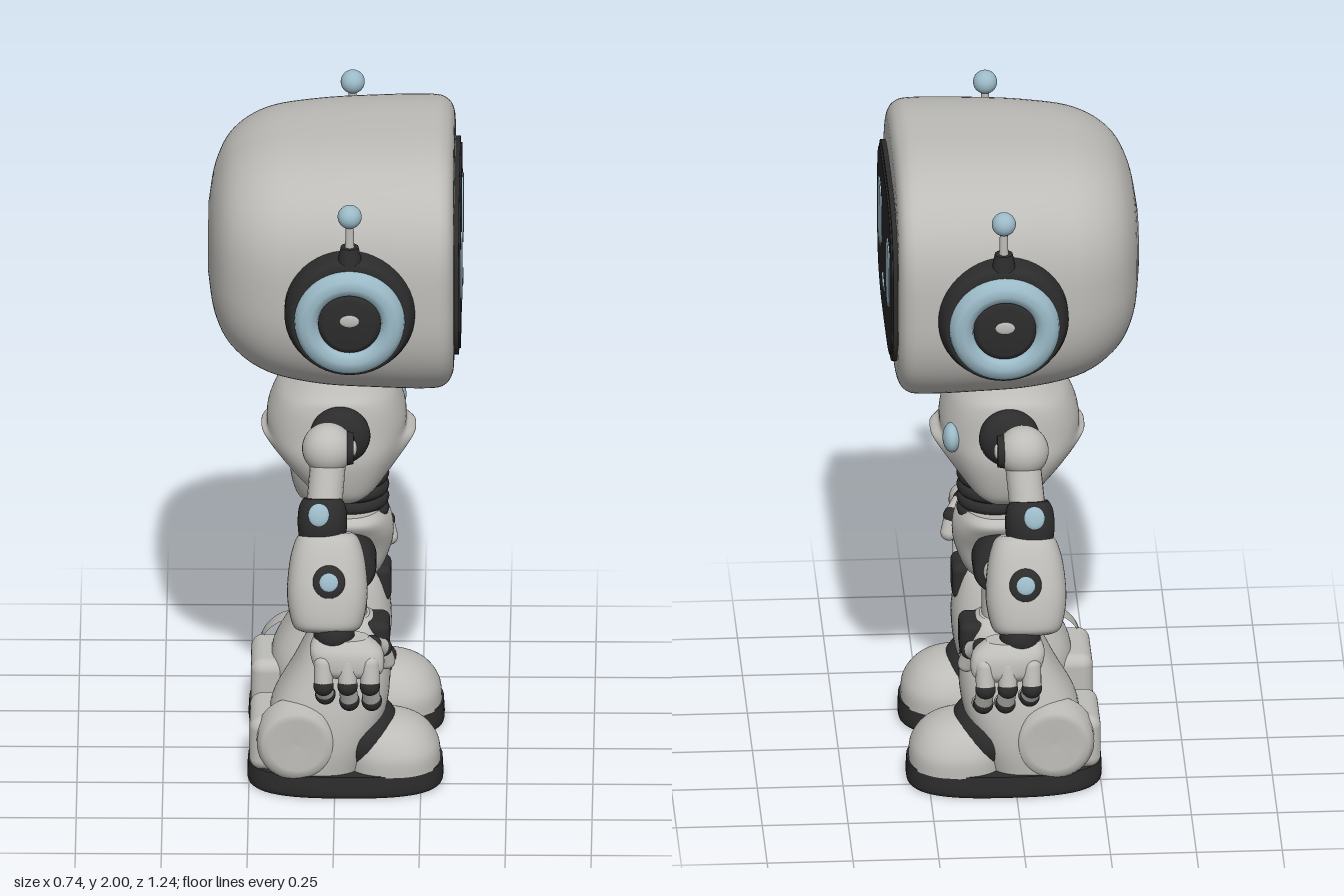
import * as THREE from 'three';
import { RoundedBoxGeometry } from 'three/addons/geometries/RoundedBoxGeometry.js';

const paint = (name, color) => {
  const m = new THREE.MeshStandardMaterial({ color });
  m.name = name;
  return m;
};
const shell = paint('shellGrey', 0xbdbcb8);
const rubber = paint('rubberBlack', 0x2c2c2c);
const glass = paint('screenBlack', 0x262627);
const blue = paint('paleBlue', 0x9bbac7);

function add(parent, name, geometry, material, x = 0, y = 0, z = 0) {
  const mesh = new THREE.Mesh(geometry, material);
  mesh.name = name;
  mesh.position.set(x, y, z);
  parent.add(mesh);
  return mesh;
}

// Smooth solid through superellipse sections [t, cu, cv, ru, rv, n] along y (u=x, v=z) or z (u=x, v=y)
function loft(sections, axis = 'y', sub = 6, seg = 56, rule = null) {
  const rows = [], last = sections.length - 1;
  for (let i = 0; i < last; i++) {
    const [a, b, c, d] = [i - 1, i, i + 1, i + 2].map(k => sections[Math.min(Math.max(k, 0), last)]);
    for (let j = 0; j < sub + (i === last - 1 ? 1 : 0); j++) {
      const t = j / sub;
      rows.push(b.map((q, k) => q + 0.5 * t * (c[k] - a[k] + t * (2 * a[k] - 5 * q + 4 * c[k] - d[k]
        + t * (3 * (q - c[k]) + d[k] - a[k])))));
    }
  }
  const pos = [], idx = [], flip = axis === 'y';
  const put = (t, u, v) => {
    const p = flip ? new THREE.Vector3(u, t, v) : new THREE.Vector3(u, v, t);
    if (rule) rule(p);
    pos.push(p.x, p.y, p.z);
  };
  const tri = (a, b, c, swap) => swap ? idx.push(a, c, b) : idx.push(a, b, c);
  const power = (q, n) => Math.sign(q) * Math.abs(q) ** (2 / n);
  const ring = ([t, cu, cv, ru, rv, n]) => {
    for (let k = 0; k < seg; k++) {
      const a = k / seg * Math.PI * 2;
      put(t, cu + ru * power(Math.cos(a), n), cv + rv * power(Math.sin(a), n));
    }
  };
  rows.forEach(ring);
  for (let r = 0; r < rows.length - 1; r++) for (let k = 0; k < seg; k++) {
    const a = r * seg + k, b = r * seg + (k + 1) % seg;
    tri(a, b, b + seg, flip);
    tri(a, b + seg, a + seg, flip);
  }
  // End caps with their own corners, so their edges stay sharp
  [rows[0], rows[rows.length - 1]].forEach((row, end) => {
    const base = pos.length / 3;
    ring(row);
    put(row[0], row[1], row[2]);
    for (let k = 0; k < seg; k++) tri(base + k, base + (k + 1) % seg, base + seg, flip !== (end === 0));
  });
  const g = new THREE.BufferGeometry();
  g.setAttribute('position', new THREE.Float32BufferAttribute(pos, 3));
  g.setIndex(idx);
  g.computeVertexNormals();
  return g;
}

// Turned disc whose axis points outward along x on side s
const turned = (s, profile) => new THREE.LatheGeometry(profile.map(p => new THREE.Vector2(...p)), 48).rotateZ(-s * Math.PI / 2);
const ball = (r, sx = 1, sy = 1, sz = 1) => new THREE.SphereGeometry(r, 32, 24).scale(sx, sy, sz);

function capsule(parent, name, a, b, r, material) {
  const p = new THREE.Vector3(...a), q = new THREE.Vector3(...b), d = q.clone().sub(p);
  const mesh = add(parent, name, new THREE.CapsuleGeometry(r, d.length(), 8, 20), material);
  mesh.position.copy(p).add(q).multiplyScalar(0.5);
  mesh.quaternion.setFromUnitVectors(new THREE.Vector3(0, 1, 0), d.normalize());
}

function buildHead(body) {
  add(body, 'head', loft([
    [-0.37, 0, 1.63, 0.1, 0.1, 2.4], [-0.35, 0, 1.63, 0.245, 0.2, 2.5], [-0.3, 0, 1.63, 0.345, 0.285, 2.6],
    [-0.2, 0, 1.625, 0.412, 0.345, 2.7], [-0.05, 0, 1.62, 0.44, 0.37, 2.8], [0.12, 0, 1.62, 0.455, 0.378, 2.8],
    [0.27, 0, 1.62, 0.46, 0.38, 2.8], [0.32, 0, 1.62, 0.45, 0.366, 2.9], [0.343, 0, 1.62, 0.42, 0.33, 3],
    [0.347, 0, 1.61, 0.38, 0.27, 3.2]], 'z', 6, 96), shell);
  const plate = (name, x, y, z0, z1, rx, ry, n, material) =>
    add(body, name, loft([[z0, x, y, rx, ry, n], [z1, x, y, rx, ry, n]], 'z', 1, 64), material);
  plate('screenFrame', 0, 1.607, 0.33, 0.361, 0.378, 0.252, 3.5, rubber);
  plate('screen', 0, 1.607, 0.36, 0.366, 0.36, 0.235, 3.5, glass);
  for (const s of [-1, 1]) plate('eye', s * 0.207, 1.634, 0.364, 0.37, 0.07, 0.099, 3, blue);
  add(body, 'smile', new THREE.TorusGeometry(0.05, 0.008, 8, 24, 2.2).rotateZ(-Math.PI / 2 - 1.1).scale(1, 1, 0.5),
    blue, 0, 1.538, 0.367);
  for (const s of [-1, 1]) {
    const ear = (name, profile, material) => add(body, name, turned(s, profile), material, 0, 1.595, 0.045);
    ear('earMuff', [[0.19, 0.4], [0.19, 0.465], [0.178, 0.498], [0.165, 0.516], [0, 0.517]], rubber);
    ear('earRing', [[0.162, 0.51], [0.158, 0.533], [0.142, 0.55], [0.118, 0.556], [0.096, 0.546], [0.09, 0.525]], blue);
    ear('earCentre', [[0.094, 0.515], [0.09, 0.535], [0.075, 0.543], [0, 0.546]], rubber);
    add(body, 'earDot', ball(0.024, 0.2, 0.8, 1.2), shell, s * 0.546, 1.61, 0.045);
    add(body, 'antennaBase', new THREE.CylinderGeometry(0.026, 0.036, 0.05, 24), rubber, s * 0.472, 1.79, 0.045);
    add(body, 'antennaRod', new THREE.CylinderGeometry(0.011, 0.014, 0.1, 16), shell, s * 0.473, 1.845, 0.045);
    add(body, 'antennaTip', ball(0.035), blue, s * 0.475, 1.912, 0.045);
  }
}

function buildTrunk(body) {
  add(body, 'neck', loft([[1.17, 0, 0.01, 0.1, 0.1, 2], [1.22, 0, 0.01, 0.085, 0.085, 2], [1.27, 0, 0.01, 0.1, 0.11, 2]]), rubber);
  // The lower edge of the chest is pulled up into an arch over the waist
  const arch = p => {
    const w = Math.exp(-((p.x / 0.125) ** 4)) * Math.min(Math.max((1.05 - p.y) / 0.18, 0), 1);
    p.y += 0.15 * w;
    p.z *= 1 + 0.65 * w;
  };
  add(body, 'chest', loft([
    [0.86, 0, 0.03, 0.18, 0.08, 2.5], [0.9, 0, 0.02, 0.215, 0.125, 2.5], [1, 0, 0.005, 0.237, 0.188, 2.5],
    [1.08, 0, 0.003, 0.227, 0.203, 2.5], [1.16, 0, 0.005, 0.218, 0.175, 2.6], [1.2, 0, 0.01, 0.2, 0.13, 2.6],
    [1.226, 0, 0.01, 0.13, 0.08, 2.4]], 'y', 6, 96, arch), shell);
  add(body, 'chestLight', ball(0.044, 1, 1, 0.6), blue, 0.143, 1.066, 0.178);
  // Ribbed waist
  add(body, 'waist', new THREE.CylinderGeometry(0.095, 0.095, 0.29, 40), rubber, 0, 0.88, 0.045);
  for (let i = 0; i < 7; i++) {
    add(body, 'waistRib', new THREE.TorusGeometry(0.09, 0.021, 10, 40).rotateX(Math.PI / 2), rubber, 0, 0.77 + i * 0.037, 0.045);
  }
  const dip = p => { if (p.y > 0.7) p.y -= 0.25 * (p.y - 0.7) * Math.exp(-((p.x / 0.08) ** 2)); };
  add(body, 'pelvis', loft([
    [0.555, 0, 0.05, 0.045, 0.05, 2.2], [0.59, 0, 0.045, 0.083, 0.09, 2.3], [0.67, 0, 0.04, 0.105, 0.125, 2.4],
    [0.73, 0, 0.035, 0.14, 0.132, 2.5], [0.775, 0, 0.03, 0.168, 0.122, 2.5], [0.8, 0, 0.03, 0.15, 0.1, 2.5]],
    'y', 6, 64, dip), shell);
}

function buildLeg(body, s) {
  const x = s * 0.19;
  add(body, 'hipJoint', turned(s, [[0.06, 0.1], [0.08, 0.13], [0.08, 0.22], [0.068, 0.24], [0, 0.24]]), rubber, 0, 0.675, 0.04);
  add(body, 'hipCap', turned(s, [[0.052, 0.23], [0.05, 0.247], [0.035, 0.253], [0, 0.254]]), shell, 0, 0.675, 0.04);
  add(body, 'hipLight', turned(s, [[0.02, 0.25], [0.018, 0.258], [0, 0.259]]), blue, 0, 0.675, 0.04);
  capsule(body, 'thigh', [x, 0.48, 0.04], [x, 0.6, 0.04], 0.053, shell);
  add(body, 'kneeJoint', new RoundedBoxGeometry(0.125, 0.115, 0.17, 4, 0.025), rubber, s * 0.198, 0.455, 0.075);
  add(body, 'shin', loft([
    [0.52, x, 0.035, 0.06, 0.065, 2.5], [0.485, x, 0.035, 0.095, 0.098, 2.6], [0.37, x, 0.02, 0.128, 0.14, 2.6],
    [0.25, s * 0.195, -0.015, 0.152, 0.168, 2.6], [0.15, s * 0.2, -0.035, 0.158, 0.155, 2.6],
    [0.065, s * 0.2, -0.05, 0.153, 0.14, 2.6]].reverse()), shell);
  add(body, 'ankle', ball(1, 0.138, 0.115, 0.115), rubber, s * 0.2, 0.15, 0.075);
  add(body, 'ankleDisc', turned(s, [[0.118, 0.28], [0.116, 0.345], [0.1, 0.362], [0.08, 0.364], [0, 0.36]]), shell, 0, 0.17, -0.11);
  add(body, 'toeCap', loft([
    [0.065, s * 0.207, 0.165, 0.152, 0.143, 2.3], [0.12, s * 0.207, 0.163, 0.148, 0.138, 2.3],
    [0.17, s * 0.207, 0.155, 0.118, 0.112, 2.2], [0.2, s * 0.207, 0.145, 0.07, 0.07, 2], [0.209, s * 0.207, 0.14, 0.02, 0.02, 2]]), shell);
  add(body, 'heel', new RoundedBoxGeometry(0.23, 0.165, 0.14, 5, 0.035), shell, s * 0.205, 0.147, -0.178);
  add(body, 'sole', loft([
    [0, s * 0.207, 0.03, 0.15, 0.275, 2.7], [0.015, s * 0.207, 0.03, 0.159, 0.285, 2.7],
    [0.07, s * 0.207, 0.03, 0.157, 0.283, 2.7]], 'y', 3), rubber);
}

function buildArm(body, s) {
  add(body, 'shoulderSocket', ball(0.088, 0.6, 1, 1), rubber, s * 0.225, 1.1, 0.015);
  const arm = new THREE.Group();
  arm.name = 'arm';
  arm.position.set(s * 0.315, 1.1, -0.02);
  arm.rotation.z = s * 0.36;
  body.add(arm);
  add(arm, 'shoulder', ball(0.075), shell);
  add(arm, 'shoulderDisc', new THREE.CylinderGeometry(0.046, 0.052, 0.03, 32).rotateX(Math.PI / 2), rubber, 0, 0, 0.06);
  add(arm, 'shoulderBolt', ball(0.022, 1, 1, 0.4), shell, 0, 0, 0.076);
  capsule(arm, 'upperArm', [0, -0.05, 0], [s * 0.005, -0.17, -0.01], 0.052, shell);
  add(arm, 'elbow', loft([
    [-0.28, 0, -0.015, 0.062, 0.065, 2.2], [-0.22, s * 0.01, -0.015, 0.073, 0.072, 2.3],
    [-0.17, s * 0.01, -0.015, 0.072, 0.068, 2.3], [-0.145, s * 0.008, -0.015, 0.055, 0.055, 2.2]]), rubber);
  add(arm, 'elbowLight', ball(0.031, 0.35, 1.1, 1), blue, s * 0.08, -0.19, -0.025);
  add(arm, 'forearm', loft([
    [-0.535, 0, 0, 0.055, 0.07, 2.5], [-0.515, 0, 0, 0.083, 0.1, 2.7], [-0.43, 0, 0, 0.097, 0.117, 2.7],
    [-0.33, 0, 0, 0.093, 0.11, 2.7], [-0.265, 0, 0, 0.08, 0.092, 2.6], [-0.245, 0, 0, 0.06, 0.07, 2.4]]), shell);
  add(arm, 'forearmPort', ball(0.05, 0.3, 1, 0.95), rubber, s * 0.092, -0.385, 0.005);
  add(arm, 'forearmLight', ball(0.028, 0.3, 1, 1), blue, s * 0.102, -0.385, 0.005);

  // Hand: palm, three curled fingers and a thumb, with dark rings at the knuckles
  add(body, 'wrist', ball(0.06), rubber, s * 0.515, 0.6, 0);
  add(body, 'palm', loft([
    [0.485, s * 0.56, 0.05, 0.025, 0.075, 2.5], [0.51, s * 0.555, 0.045, 0.044, 0.1, 2.7],
    [0.56, s * 0.54, 0.035, 0.053, 0.105, 2.7], [0.595, s * 0.525, 0.02, 0.04, 0.08, 2.4]]), shell);
  const finger = (name, points, r) => {
    for (let i = 0; i < points.length - 1; i++) {
      capsule(body, name, points[i], points[i + 1], r * (1 - 0.06 * i), shell);
      if (i > 0 || name === 'thumb') add(body, 'knuckle', ball(r * 1.06), rubber, ...points[i]);
    }
  };
  [-0.03, 0.04, 0.105].forEach((z, i) => {
    const lift = i === 0 ? 0.02 : 0;
    finger('finger', [[0.573, 0.53, z], [0.588, 0.465, z], [0.56, 0.405 + lift, z + 0.005], [0.487, 0.374 + lift, z + 0.01]]
      .map(([x, y, w]) => [s * x, y, w]), 0.028);
  });
  finger('thumb', [[0.495, 0.555, 0.11], [0.45, 0.525, 0.14], [0.437, 0.478, 0.152]].map(([x, y, w]) => [s * x, y, w]), 0.027);
}

export function createModel() {
  const model = new THREE.Group();
  model.name = 'robot';
  const body = new THREE.Group();
  body.name = 'body';
  body.rotation.y = Math.PI / 2; // the face looks along +x
  model.add(body);
  buildHead(body);
  buildTrunk(body);
  for (const s of [-1, 1]) {
    buildLeg(body, s);
    buildArm(body, s);
  }
  return model;
}
